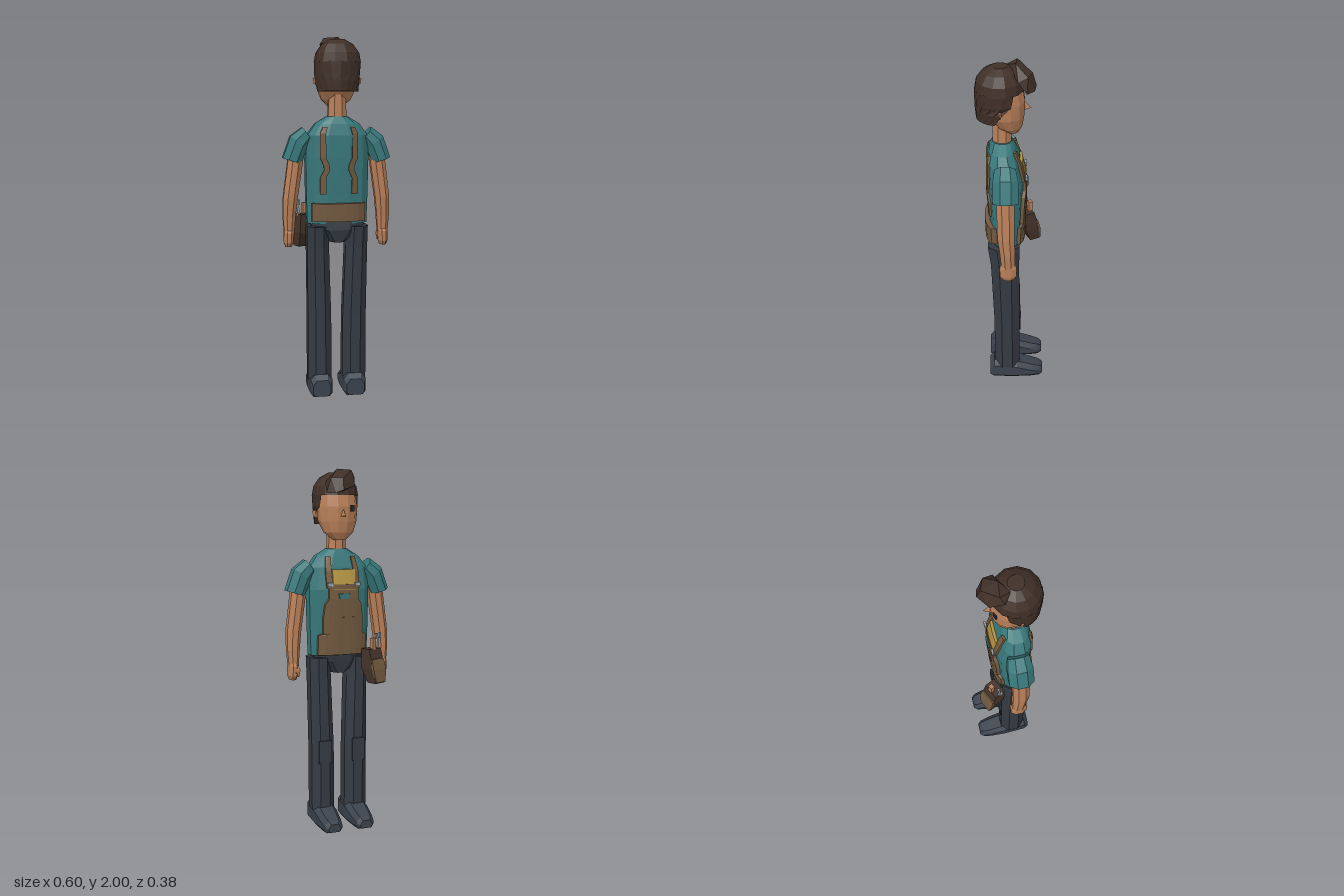
import * as THREE from 'three';
import { ConvexGeometry } from 'three/addons/geometries/ConvexGeometry.js';

const mat = (name, color, side = THREE.FrontSide) =>
  new THREE.MeshStandardMaterial({ name, color, side, flatShading: true });

// Loft through rings [cx, y, cz, rx, rz, tilt, arcStart], listed bottom to top.
// With arc = true each ring is an open arc around the +z side.
function loft(rings, n = 8, p = 1, arc = false) {
  const pos = [], k = arc ? 1 : 1 / Math.cos(Math.PI / n);
  const pow = v => Math.sign(v) * Math.abs(v) ** p;
  const at = ([cx, y, cz, rx, rz, t = 0, a0 = 0], i) => {
    const a = arc ? a0 + (Math.PI - 2 * a0) * i / n : (i + 0.5) / n * Math.PI * 2;
    const u = rx * k * pow(Math.cos(a));
    return [cx + u * Math.cos(t), y + u * Math.sin(t), cz + rz * k * pow(Math.sin(a))];
  };
  const first = rings[0], last = rings[rings.length - 1];
  for (let i = 0; i < n; i++) {
    for (let r = 0; r < rings.length - 1; r++) {
      const a = at(rings[r], i), b = at(rings[r], i + 1);
      const c = at(rings[r + 1], i), d = at(rings[r + 1], i + 1);
      pos.push(...a, ...c, ...b, ...b, ...c, ...d);
    }
    pos.push(...first.slice(0, 3), ...at(first, i), ...at(first, i + 1));
    pos.push(...last.slice(0, 3), ...at(last, i + 1), ...at(last, i));
  }
  return toGeometry(pos);
}

function toGeometry(pos) {
  const g = new THREE.BufferGeometry();
  g.setAttribute('position', new THREE.Float32BufferAttribute(pos, 3));
  g.computeVertexNormals();
  return g;
}

const hull = pts => new ConvexGeometry(pts.map(q => new THREE.Vector3(...q)));

const TORSO_P = 0.8;
const torsoRings = [
  [0, 0.985, 0.03, 0.165, 0.085], [0, 1.15, 0.03, 0.17, 0.09], [0, 1.35, 0.032, 0.173, 0.098],
  [0, 1.47, 0.045, 0.165, 0.086], [0, 1.53, 0.05, 0.122, 0.068], [0, 1.57, 0.05, 0.058, 0.05]];

// Depth of the torso surface at x, y on the chest (-1) or back (+1)
function torsoZ(x, y, side) {
  let i = 0;
  while (i < torsoRings.length - 2 && torsoRings[i + 1][1] < y) i++;
  const a = torsoRings[i], b = torsoRings[i + 1];
  const t = THREE.MathUtils.clamp((y - a[1]) / (b[1] - a[1]), 0, 1);
  const [cz, rx, rz] = [2, 3, 4].map(j => a[j] + (b[j] - a[j]) * t);
  const f = Math.min(1, Math.abs(x / rx)) ** (2 / TORSO_P);
  return cz + side * rz * (1 - f) ** (TORSO_P / 2);
}

// Cloth draped on the torso; rows are [y, x0, x1], the rim drops to the body
function drape(rows, side, off, cols = 6) {
  const pos = [];
  const at = (r, c) => {
    const rr = THREE.MathUtils.clamp(r, 0, rows.length - 1), cc = THREE.MathUtils.clamp(c, 0, cols);
    const [y, x0, x1] = rows[rr], x = x0 + (x1 - x0) * cc / cols;
    return [x, y, torsoZ(x, y, side) + (rr === r && cc === c ? side * off : 0)];
  };
  for (let r = -1; r < rows.length; r++) for (let c = -1; c <= cols; c++) {
    const a = at(r, c), b = at(r, c + 1), d = at(r + 1, c), e = at(r + 1, c + 1);
    pos.push(...a, ...b, ...d, ...b, ...e, ...d);
  }
  return toGeometry(pos);
}

export function createModel() {
  const model = new THREE.Group();
  const skin = mat('skin', 0xb98059), hair = mat('hair', 0x3f2f27, THREE.DoubleSide);
  const shirt = mat('teal shirt', 0x38777a, THREE.DoubleSide), pants = mat('dark trousers', 0x353b43);
  const shoe = mat('shoe', 0x3a424c), tan = mat('tan canvas', 0x725a3f, THREE.DoubleSide);
  const paper = mat('yellow paper', 0xb49442, THREE.DoubleSide), steel = mat('steel', 0x98a3a8);
  const leather = mat('dark leather', 0x44342a), ink = mat('eye black', 0x23282e);
  const add = (name, geo, m, parent = model) => {
    const mesh = new THREE.Mesh(geo, m);
    mesh.name = name;
    parent.add(mesh);
    return mesh;
  };
  const box = (name, w, h, d, m, x, y, z, parent) => {
    const b = add(name, new THREE.BoxGeometry(w, h, d), m, parent);
    b.position.set(x, y, z);
    return b;
  };

  // Head, face and neck
  add('head', loft([[0, 1.62, -0.005, 0.035, 0.032], [0, 1.66, 0.012, 0.08, 0.067], [0, 1.72, 0.028, 0.104, 0.092],
    [0, 1.8, 0.038, 0.11, 0.106], [0, 1.88, 0.05, 0.104, 0.104], [0, 1.94, 0.055, 0.07, 0.07]], 12), skin);
  add('neck', loft([[0, 1.54, 0.05, 0.052, 0.05], [0, 1.7, 0.05, 0.045, 0.048]]), skin);
  add('nose', hull([[0, 1.795, -0.06], [0.018, 1.745, -0.055], [-0.018, 1.745, -0.055], [0, 1.75, -0.102]]), skin);
  box('eye', 0.026, 0.036, 0.008, ink, -0.056, 1.79, -0.055).rotation.y = 0.45;

  // Hair: cap, back and swept quiff
  add('hairCap', loft([[0, 1.86, 0.064, 0.124, 0.125], [0, 1.91, 0.064, 0.115, 0.115],
    [0, 1.955, 0.062, 0.085, 0.085], [0, 1.982, 0.06, 0.04, 0.04]], 12), hair);
  add('hairBack', loft([[0, 1.705, 0.064, 0.115, 0.12, 0, 0.2], [0, 1.76, 0.064, 0.122, 0.125, 0, -0.1],
    [0, 1.8, 0.064, 0.125, 0.126, 0, -0.5], [0, 1.865, 0.064, 0.126, 0.127, 0, -0.6]], 10, 1, true), hair);
  add('quiff', hull([[-0.085, 1.96, -0.01], [-0.035, 1.975, 0.027], [-0.06, 1.995, -0.03], [0.02, 2, -0.02],
    [0.09, 1.93, -0.03], [-0.06, 1.91, -0.08], [0.015, 1.95, -0.105], [0.02, 1.885, -0.125],
    [0.06, 1.87, -0.115], [0.1, 1.87, -0.075], [0.0, 1.88, -0.06], [0.075, 1.95, -0.08]]), hair);

  // Torso and hips
  add('shirt', loft(torsoRings, 12, TORSO_P), shirt);
  add('hips', loft([[0, 0.88, 0.04, 0.045, 0.065], [0, 0.95, 0.042, 0.14, 0.08], [0, 1.01, 0.035, 0.155, 0.08]]), pants);

  // Apron
  add('backBelt', drape([[1.0, -0.147, 0.147], [1.1, -0.147, 0.147]], 1, 0.03, 8), tan);
  add('apron', drape([[0.99, -0.14, 0.14], [1.1, -0.14, 0.14], [1.11, -0.115, 0.115], [1.2, -0.115, 0.115],
    [1.27, -0.105, 0.105], [1.3, -0.085, 0.085], [1.38, -0.085, 0.085]], -1, 0.02, 8), tan);
  add('paper', drape([[1.35, -0.068, 0.06], [1.46, -0.072, 0.06]], -1, 0.016), paper);
  add('pocketMouth', drape([[1.3, -0.025, 0.025], [1.33, -0.035, 0.035]], -1, 0.025), shirt);
  add('pocketSeam', drape([[1.2, -0.06, 0.06], [1.205, -0.06, 0.06]], -1, 0.024), leather);

  for (const s of [-1, 1]) {
    const strap = pts => pts.map(([y, x, w = 0.016]) => [y, s * x - w, s * x + w]);
    add('frontStrap', drape(strap([[1.36, 0.078], [1.45, 0.08], [1.53, 0.072, 0.013]]), -1, 0.014, 2), tan);
    add('backStrap', drape(strap([[1.15, 0.087], [1.24, 0.087], [1.285, 0.066], [1.31, 0.07],
      [1.35, 0.088], [1.48, 0.088], [1.515, 0.075, 0.012]]), 1, 0.012, 2), tan);
    box('buckle', 0.03, 0.022, 0.012, steel, s * 0.08, 1.38, torsoZ(0.08, 1.38, -1) - 0.024);

    // Ears
    add('ear', hull([[s * 0.105, 1.78, 0.045], [s * 0.134, 1.775, 0.065], [s * 0.105, 1.785, 0.08],
      [s * 0.128, 1.745, 0.06], [s * 0.1, 1.735, 0.06]]), skin);

    // Sleeve, arm and hand
    const x = v => s * v;
    add('sleeve', loft([[x(0.249), 1.33, 0.034, 0.052, 0.066, s * 0.3], [x(0.21), 1.43, 0.034, 0.057, 0.066, s * 0.62],
      [x(0.165), 1.475, 0.036, 0.045, 0.055, s * 0.95]]), shirt);
    add('arm', loft([[x(0.264), 0.93, 0.022, 0.028, 0.036], [x(0.264), 1.02, 0.025, 0.035, 0.04],
      [x(0.258), 1.12, 0.033, 0.04, 0.045], [x(0.225), 1.36, 0.036, 0.042, 0.047]]), skin);
    add('hand', loft([[x(0.268), 0.852, 0.022, 0.018, 0.03], [x(0.268), 0.875, 0.022, 0.025, 0.044],
      [x(0.266), 0.93, 0.022, 0.027, 0.046], [x(0.264), 0.95, 0.022, 0.022, 0.034]]), skin);
    add('thumb', hull([[x(0.25), 0.94, -0.015], [x(0.235), 0.91, -0.02], [x(0.245), 0.87, -0.025],
      [x(0.262), 0.9, -0.03], [x(0.262), 0.88, 0.0]]), skin);

    // Leg, knee patch and shoe
    add('leg', loft([[x(0.098), 0.09, 0.027, 0.067, 0.073], [x(0.099), 0.45, 0.029, 0.066, 0.073],
      [x(0.108), 0.85, 0.038, 0.061, 0.079], [x(0.11), 0.97, 0.046, 0.06, 0.087]]), pants);
    box('kneePatch', 0.075, 0.13, 0.008, pants, x(0.099), 0.435, -0.048);
    const sole = [];
    for (const [z, w, y0, y1] of [[0.13, 0.05, 0.008, 0.1], [0.105, 0.062, 0, 0.128], [-0.03, 0.066, 0, 0.115],
      [-0.12, 0.06, 0, 0.085], [-0.165, 0.052, 0.002, 0.07], [-0.187, 0.036, 0.01, 0.055]])
      for (const e of [-1, 1]) sole.push([x(0.095) + e * w, y0 + 0.02, z], [x(0.095) + e * w * 0.75, y0, z],
        [x(0.095) + e * w, y1 - 0.03, z], [x(0.095) + e * w * 0.6, y1, z]);
    add('shoe', hull(sole), shoe);
  }

  // Tool pouch on the hip
  const pouch = new THREE.Group();
  pouch.name = 'toolPouch';
  pouch.position.set(-0.165, 0, -0.1);
  pouch.rotation.y = 0.43;
  model.add(pouch);
  const corners = (w, y, z0, z1) => [[-w, y, z0], [w, y, z0], [-w, y, z1], [w, y, z1]];
  add('pouchBody', hull([...corners(0.047, 1.02, -0.015, 0.045), ...corners(0.05, 0.91, -0.045, 0.04),
    ...corners(0.038, 0.83, -0.055, 0.005)]), leather, pouch);
  add('pouchFront', hull([...corners(0.046, 0.965, -0.037, -0.02), ...corners(0.052, 0.91, -0.053, -0.04),
    ...corners(0.036, 0.835, -0.062, -0.05)]), tan, pouch);
  box('wrenchShaft', 0.014, 0.13, 0.01, steel, -0.04, 1.01, 0.01, pouch).rotation.z = 0.15;
  for (const e of [-1, 1]) box('wrenchJaw', 0.012, 0.03, 0.012, steel, -0.052 + e * 0.012, 1.085, 0.01, pouch);
  box('toolHandle', 0.026, 0.12, 0.022, skin, 0.005, 1.02, -0.005, pouch);
  return model;
}
